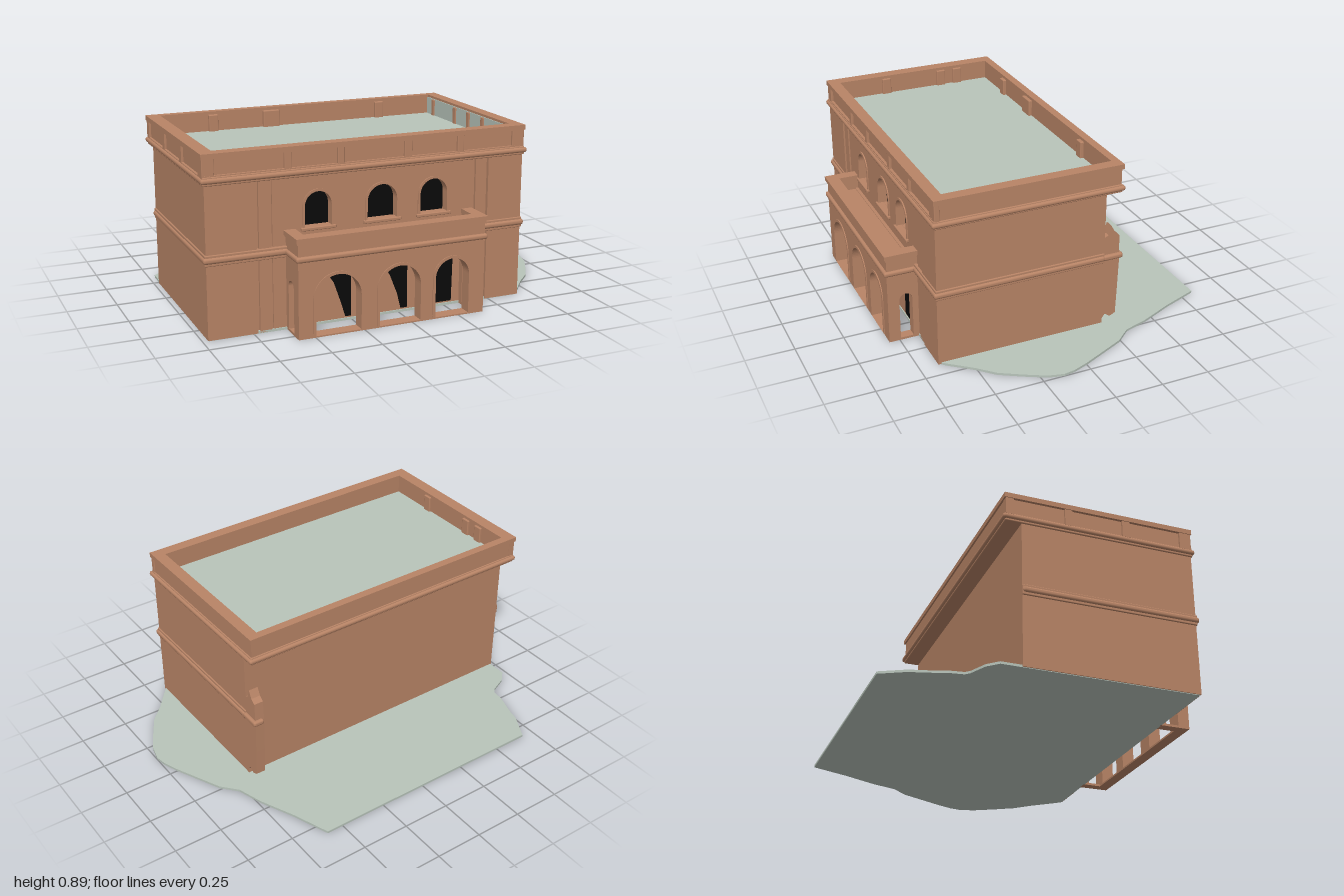
import * as THREE from 'three';
import { RoundedBoxGeometry } from 'three/addons/geometries/RoundedBoxGeometry.js';

const mat = (name, color) => {
  const m = new THREE.MeshStandardMaterial({ color });
  m.name = name;
  return m;
};

export function createModel() {
  const clay = mat('terracotta', 0xb88466);
  const slate = mat('pale grey green', 0xb8c4ba);
  const dark = mat('dark opening', 0x0a0a0a);
  const model = new THREE.Group();

  const add = (name, geo, material = clay) => {
    const m = new THREE.Mesh(geo, material);
    m.name = name;
    model.add(m);
    return m;
  };
  // Box given by its limits, optionally with rounded edges
  const box = (name, x0, x1, y0, y1, z0, z1, material = clay, r = 0) => {
    const s = [x1 - x0, y1 - y0, z1 - z0];
    const geo = r ? new RoundedBoxGeometry(...s, 2, r) : new THREE.BoxGeometry(...s);
    geo.translate((x0 + x1) / 2, (y0 + y1) / 2, (z0 + z1) / 2);
    return add(name, geo, material);
  };
  const poly = (pts) => new THREE.Shape(pts.map((p) => new THREE.Vector2(...p)));
  const rect = (x0, x1, y0, y1) => poly([[x0, y0], [x1, y0], [x1, y1], [x0, y1]]);
  // Round-headed opening
  const arch = (x0, x1, y0, y1) => {
    const r = (x1 - x0) / 2;
    const s = new THREE.Shape();
    s.moveTo(x0, y0);
    s.lineTo(x1, y0);
    s.lineTo(x1, y1 - r);
    s.absarc(x0 + r, y1 - r, r, 0, Math.PI, false);
    s.closePath();
    return s;
  };
  const extrude = (shape, depth, holes = []) => {
    shape.holes.push(...holes);
    return new THREE.ExtrudeGeometry(shape, { depth, bevelEnabled: false, curveSegments: 16 });
  };
  // Extrusion lying flat: shape is drawn in x and z, rising from y0
  const flat = (shape, y0, h, holes) =>
    extrude(shape, h, holes).rotateX(Math.PI / 2).translate(0, y0 + h, 0);
  // Extrusion facing sideways: shape is drawn in z and y, from x1 inwards
  const sideways = (shape, x1, w, holes) =>
    extrude(shape, w, holes).rotateY(-Math.PI / 2).translate(x1, 0, 0);

  // Ragged ground sheet
  add('ground', flat(poly([
    [-0.68, -0.82], [0.59, -0.82], [0.66, -0.63], [0.74, -0.45], [0.78, -0.32], [0.85, -0.24],
    [0.96, 0], [0.99, 0.08], [1, 0.14], [0.98, 0.22], [0.92, 0.33], [0.86, 0.43], [0.78, 0.51],
    [0.69, 0.62], [0.66, 0.65], [-0.97, 0.65], [-0.97, -0.34], [-0.92, -0.39], [-0.83, -0.43],
    [-0.81, -0.45], [-0.8, -0.52], [-0.76, -0.64], [-0.75, -0.69],
  ]), 0, 0.012), slate);

  // Main block with a front wall pierced by three windows
  box('mainBlock', -0.975, 0.67, 0.003, 0.75, -0.235, 0.6);
  const windows = [[-0.49, -0.355], [-0.17, -0.015], [0.11, 0.255]];
  const holes = windows.map(([a, b]) => arch(a, b, 0.49, 0.66));
  add('frontWall', extrude(rect(-0.65, 0.4, 0.003, 0.75), 0.045, holes).translate(0, 0, 0.6));
  windows.forEach(([a, b]) => {
    add('windowOpening', new THREE.ShapeGeometry(arch(a, b, 0.49, 0.66), 16).translate(0, 0, 0.603), dark);
    add('windowTrim', extrude(arch(a - 0.012, b + 0.012, 0.49, 0.672), 0.006,
      [arch(a, b, 0.4901, 0.66)]).translate(0, 0, 0.645));
    box('windowSill', a - 0.02, b + 0.02, 0.475, 0.491, 0.62, 0.66, clay, 0.004);
  });

  // Projecting corner bays and the narrow pilasters beside them
  [[-0.975, -0.73], [0.48, 0.67]].forEach(([a, b]) => box('cornerBay', a, b, 0.003, 0.75, 0.59, 0.655));
  [[-0.73, -0.65], [0.4, 0.48]].forEach(([a, b]) => {
    box('pilasterRecess', a, b, 0.003, 0.75, 0.59, 0.636);
    box('pilaster', a + 0.012, b - 0.008, 0.003, 0.75, 0.6, 0.65);
  });

  // String course and cornice
  box('stringCourse', -0.99, 0.686, 0.374, 0.404, -0.235, 0.67, clay, 0.013);
  box('stringCourseFillet', -0.982, 0.677, 0.362, 0.415, -0.235, 0.661, clay, 0.004);
  box('corniceBed', -0.982, 0.678, 0.738, 0.78, -0.318, 0.662, clay, 0.005);
  box('cornice', -0.992, 0.69, 0.748, 0.774, -0.33, 0.672, clay, 0.012);

  // Roof deck and its surrounding parapet
  box('roofDeck', -0.925, 0.625, 0.776, 0.785, -0.285, 0.605, slate);
  const inner = () => rect(-0.92, 0.62, -0.28, 0.6);
  add('parapet', flat(rect(-0.972, 0.672, -0.313, 0.644), 0.77, 0.1, [inner()]));
  add('parapetCoping', flat(rect(-0.987, 0.68, -0.322, 0.661), 0.862, 0.025, [inner()]));
  box('parapetInnerLining', 0.614, 0.619, 0.785, 0.875, -0.278, 0.598, slate);
  box('parapetPlinth', -0.983, 0.675, 0.77, 0.785, 0.63, 0.658);

  // Piers that frame the recessed parapet panels
  [[-0.983, -0.925], [-0.59, -0.555], [-0.325, -0.29], [0.02, 0.06], [0.305, 0.34], [0.61, 0.676]]
    .forEach(([a, b]) => box('parapetPier', a, b, 0.775, 0.87, 0.63, 0.657, clay, 0.004));
  [-0.3, 0.0, 0.3, 0.61].forEach((z) =>
    box('sideParapetPier', -0.983, -0.95, 0.775, 0.87, z - 0.015, z + 0.025));

  // Small stubs on the inside of the parapet
  [[-0.64, 0.05], [-0.32, 0.09], [0.31, 0.05]].forEach(([x, w]) =>
    box('backStub', x - w / 2, x + w / 2, 0.78, 0.872, -0.285, -0.262, clay, 0.005));
  [-0.1, 0, 0.33].forEach((z) =>
    box('sideStub', -0.925, -0.908, 0.78, 0.872, z - 0.025, z + 0.025, clay, 0.005));
  [-0.2, 0.05, 0.2, 0.35].forEach((z) =>
    box('sideStub', 0.607, 0.625, 0.78, 0.872, z - 0.015, z + 0.015, clay, 0.004));

  // Broken wall fragment at the rear corner
  add('wallFragment', sideways(poly([
    [-0.23, 0.03], [-0.25, 0.06], [-0.28, 0.04], [-0.31, 0.055], [-0.315, 0.2], [-0.32, 0.37],
    [-0.315, 0.5], [-0.29, 0.52], [-0.27, 0.56], [-0.255, 0.51], [-0.23, 0.5],
  ].reverse()), 0.67, 0.05));
  box('fragmentCourse', 0.625, 0.686, 0.374, 0.404, -0.335, -0.225, clay, 0.012);

  // Porch: three front arches and an arch at each end
  const doors = [[-0.5, -0.27], [-0.175, 0.04], [0.12, 0.3]];
  add('porchFront', extrude(rect(-0.585, 0.385, 0, 0.38), 0.06,
    doors.map(([a, b]) => arch(a, b, 0.009, 0.298))).translate(0, 0, 0.744));
  doors.forEach(([a, b]) =>
    add('porchArchTrim', extrude(arch(a - 0.014, b + 0.014, 0.009, 0.312), 0.005,
      [arch(a, b, 0.0091, 0.298)]).translate(0, 0, 0.804)));
  [-0.535, 0.385].forEach((x) =>
    add('porchEnd', sideways(rect(0.645, 0.75, 0, 0.38), x, 0.05, [arch(0.676, 0.744, 0.012, 0.26)])));
  box('balconyFloor', -0.58, 0.38, 0.355, 0.41, 0.64, 0.8);
  box('porchCornice', -0.597, 0.397, 0.374, 0.402, 0.65, 0.818, clay, 0.012);

  // Balcony wall with a moulded rail
  const openU = (o, t) => poly([
    [-0.585 - o, 0.645], [-0.585 - o, 0.803 + o], [0.385 + o, 0.803 + o], [0.385 + o, 0.645],
    [0.385 - t, 0.645], [0.385 - t, 0.748], [-0.585 + t, 0.748], [-0.585 + t, 0.645],
  ]);
  add('balconyWall', flat(openU(0, 0.045), 0.39, 0.09));
  add('balconyRailBed', flat(openU(0.005, 0.045), 0.458, 0.012));
  add('balconyRail', flat(openU(0.011, 0.047), 0.468, 0.022));

  // Dark doorways on the wall behind the porch
  [
    [[-0.285, 0.02], [-0.255, 0.02], [-0.255, 0.27], [-0.3, 0.285], [-0.37, 0.285], [-0.41, 0.272],
      [-0.375, 0.245], [-0.345, 0.2], [-0.31, 0.1]],
    [[0.01, 0.02], [0.045, 0.02], [0.045, 0.25], [0, 0.287], [-0.11, 0.287], [-0.12, 0.275],
      [-0.085, 0.25], [-0.05, 0.2], [-0.01, 0.1]],
    [[0.19, 0.02], [0.29, 0.02], [0.295, 0.25], [0.26, 0.285], [0.205, 0.285], [0.19, 0.26]],
  ].forEach((pts) =>
    add('doorway', new THREE.ShapeGeometry(poly(pts)).translate(0, 0, 0.648), dark));

  return model;
}
